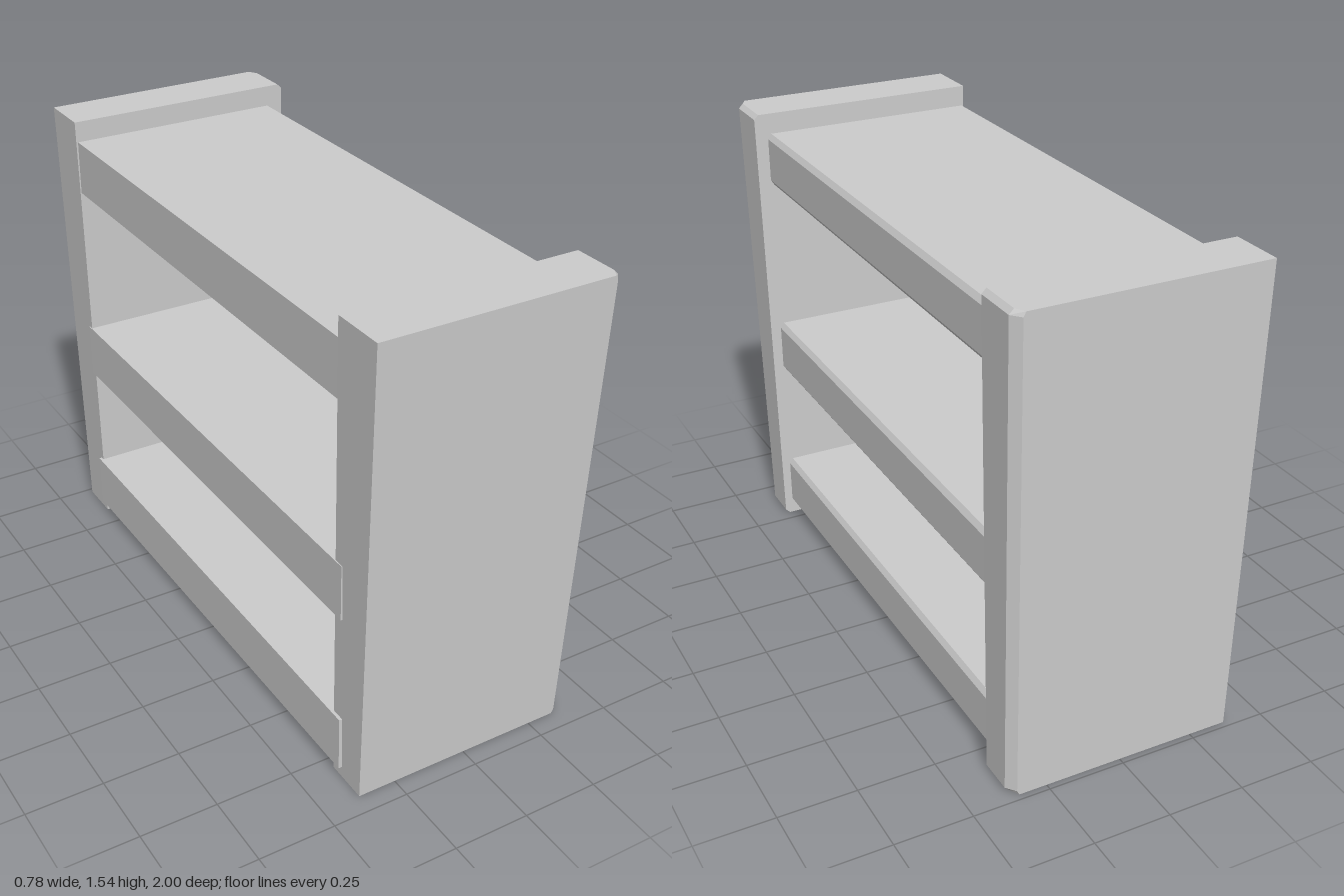
import * as THREE from 'three';

const material = new THREE.MeshStandardMaterial({ color: 0xcccccc, flatShading: true });

// Solid lofted upward through stacked outlines of [x, z] points
function loft(levels, flip) {
  const pos = [];
  const tri = (a, b, c) => pos.push(...a, ...(flip ? c : b), ...(flip ? b : c));
  const rings = levels.map(({ y, outline }) => outline.map(([x, z]) => [x, y, z]));
  const n = rings[0].length;
  for (let r = 0; r < rings.length - 1; r++) {
    for (let i = 0; i < n; i++) {
      const j = (i + 1) % n;
      const a = rings[r][i], b = rings[r][j], c = rings[r + 1][j], d = rings[r + 1][i];
      tri(a, d, c);
      tri(a, c, b);
    }
  }
  const bottom = rings[0], top = rings[rings.length - 1];
  for (let i = 1; i < n - 1; i++) {
    tri(bottom[0], bottom[i], bottom[i + 1]);
    tri(top[0], top[i + 1], top[i]);
  }
  const geometry = new THREE.BufferGeometry();
  geometry.setAttribute('position', new THREE.Float32BufferAttribute(pos, 3));
  geometry.computeVertexNormals();
  return geometry;
}

// Tapered end panel, its outer +x edge bevelled; side is +1 (front) or -1 (back)
function endPanel(name, side, innerLow, innerHigh, outerLow, outerHigh) {
  const H = 1.54;
  const { lerp } = THREE.MathUtils;
  const level = (y, inset) => {
    const t = y / H;
    const left = lerp(-0.375, -0.395, t), right = lerp(0.373, 0.39, t) - inset;
    const zin = lerp(innerLow, innerHigh, t), zout = lerp(outerLow, outerHigh, t);
    const outline = [
      [left, zin], [right, zin], [right, zout - 0.03],
      [right - 0.025 + inset * 0.5, zout], [left, zout],
    ].map(([x, z]) => [x, z * side]);
    return { y, outline };
  };
  const levels = [level(0, 0.015), level(0.015, 0), level(H - 0.015, 0), level(H, 0.015)];
  const mesh = new THREE.Mesh(loft(levels, side < 0), material);
  mesh.name = name;
  return mesh;
}

// Shelf board with bevelled long edges on +x, running along z between the panels
function shelf(name, low, high) {
  const x0 = -0.388, x1 = 0.345, bx = 0.012, by = 0.018;
  const shape = new THREE.Shape([
    [x0, low], [x1 - bx, low], [x1, low + by],
    [x1, high - by], [x1 - bx, high], [x0, high],
  ].map(([x, y]) => new THREE.Vector2(x, y)));
  const geometry = new THREE.ExtrudeGeometry(shape, { depth: 1.69, bevelEnabled: false });
  geometry.translate(0, 0, -0.85);
  const mesh = new THREE.Mesh(geometry, material);
  mesh.name = name;
  return mesh;
}

export function createModel() {
  const group = new THREE.Group();
  group.name = 'shelfUnit';
  // The front panel leans outward more than the back one
  group.add(endPanel('frontPanel', 1, 0.79, 0.82, 0.935, 1.0));
  group.add(endPanel('backPanel', -1, 0.838, 0.825, 0.98, 1.0));
  group.add(shelf('bottomShelf', 0.04, 0.225));
  group.add(shelf('middleShelf', 0.59, 0.775));
  group.add(shelf('topShelf', 1.29, 1.47));
  return group;
}
